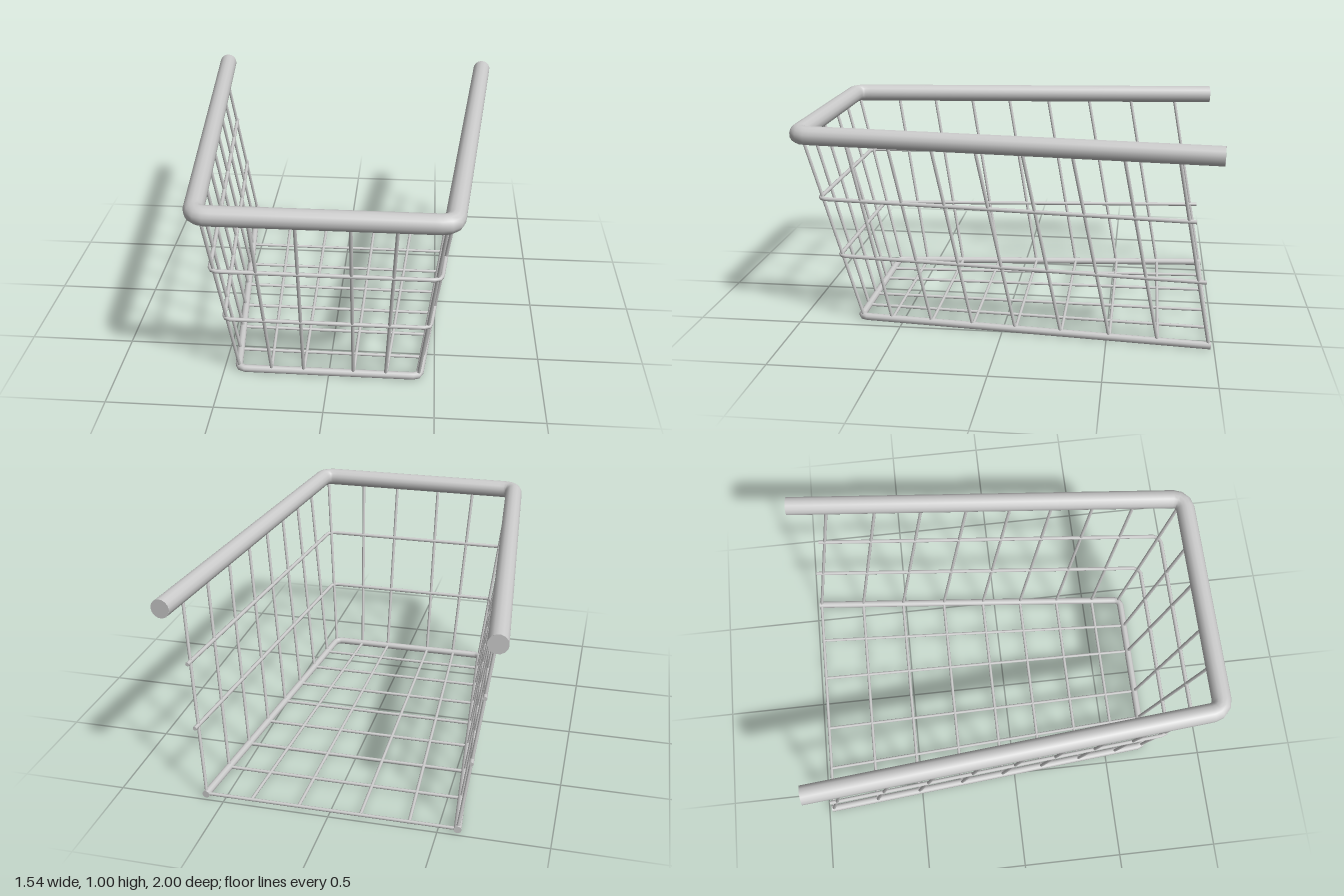
import * as THREE from 'three';

const material = new THREE.MeshStandardMaterial({ color: 0xcccccc });
const V = (x, y, z) => new THREE.Vector3(x, y, z);
const lerp = THREE.MathUtils.lerp;

// Heights and outline of the basket at its floor and at its rim
const FLOOR_Y = 0.019, RIM_Y = 0.953;
const sideX = (z, t) => lerp(0.496 - 0.095 * z, 0.636 - 0.092 * z, t);
const frontZ = (t) => lerp(0.71, 0.953, t);

export function createModel() {
  const basket = new THREE.Group();
  basket.name = 'wireBasket';

  const add = (name, geometry, parent) => {
    const mesh = new THREE.Mesh(geometry, material);
    mesh.name = name;
    parent.add(mesh);
    return mesh;
  };

  const section = (name) => {
    const group = new THREE.Group();
    group.name = name;
    basket.add(group);
    return group;
  };

  // Straight round wire between two points
  const wire = (name, a, b, parent, radius = 0.008) => {
    const mesh = add(name, new THREE.CylinderGeometry(radius, radius, a.distanceTo(b), 8), parent);
    mesh.position.copy(a).lerp(b, 0.5);
    mesh.quaternion.setFromUnitVectors(V(0, 1, 0), b.clone().sub(a).normalize());
  };

  // U-shaped bar, open at the back, with rounded front corners and capped ends
  const uBar = (name, t, backZ, radius, bend, sides) => {
    const group = section(name);
    const y = lerp(FLOOR_Y, RIM_Y, t), zf = frontZ(t);
    const point = (s, z) => V(s * sideX(z, t), y, z);
    const inner = (s) => V(s * (sideX(zf, t) - bend), y, zf);
    const path = new THREE.CurvePath();
    path.add(new THREE.LineCurve3(point(-1, backZ), point(-1, zf - bend)));
    path.add(new THREE.QuadraticBezierCurve3(point(-1, zf - bend), point(-1, zf), inner(-1)));
    path.add(new THREE.LineCurve3(inner(-1), inner(1)));
    path.add(new THREE.QuadraticBezierCurve3(inner(1), point(1, zf), point(1, zf - bend)));
    path.add(new THREE.LineCurve3(point(1, zf - bend), point(1, backZ)));
    add('bar', new THREE.TubeGeometry(path, 180, radius, sides), group);
    for (const s of [-1, 1]) {
      const cap = add('endCap', new THREE.CircleGeometry(radius, sides), group);
      const end = point(s, backZ);
      cap.position.copy(end);
      cap.lookAt(end.clone().multiplyScalar(2).sub(point(s, backZ + 1)).add(V(0, 0, 0)).sub(end).add(end));
    }
  };

  uBar('topRail', 1, -0.996, 0.045, 0.06, 14);
  uBar('bottomRail', 0, -0.985, 0.018, 0.035, 10);
  uBar('lowerHoop', 0.348, -0.95, 0.01, 0.035, 8);
  uBar('upperHoop', 0.663, -0.89, 0.01, 0.04, 8);

  // Side wires lean forward; each one meets a cross wire of the floor
  const sides = section('sideWires');
  const floor = section('floorWires');
  const bottoms = [0.55, 0.35, 0.145, -0.065, -0.285, -0.515, -0.74, -0.975];
  const tops = [0.72, 0.52, 0.315, 0.11, -0.105, -0.33, -0.56, -0.8];
  bottoms.forEach((zb, i) => {
    const zt = tops[i], xb = sideX(zb, 0), xt = sideX(zt, 1);
    for (const s of [-1, 1]) {
      wire('sideWire', V(s * xb, FLOOR_Y, zb), V(s * xt, RIM_Y, zt), sides);
    }
    wire('floorCrossWire', V(-xb, FLOOR_Y, zb), V(xb, FLOOR_Y, zb), floor);
  });

  // Front wires and the long floor wires that run on from them
  const front = section('frontWires');
  for (const s of [-1, 1]) {
    wire('frontWire', V(s * 0.118, FLOOR_Y, 0.71), V(s * 0.118, RIM_Y, 0.953), front);
    wire('frontWire', V(s * 0.27, FLOOR_Y, 0.71), V(s * 0.318, RIM_Y, 0.953), front);
    wire('cornerWire', V(s * 0.425, FLOOR_Y, 0.697), V(s * 0.526, RIM_Y, 0.935), front);
    wire('floorLongWire', V(s * 0.118, FLOOR_Y, 0.71), V(s * 0.145, FLOOR_Y, -0.975), floor);
    wire('floorLongWire', V(s * 0.272, FLOOR_Y, 0.71), V(s * 0.37, FLOOR_Y, -0.975), floor);
  }

  return basket;
}
